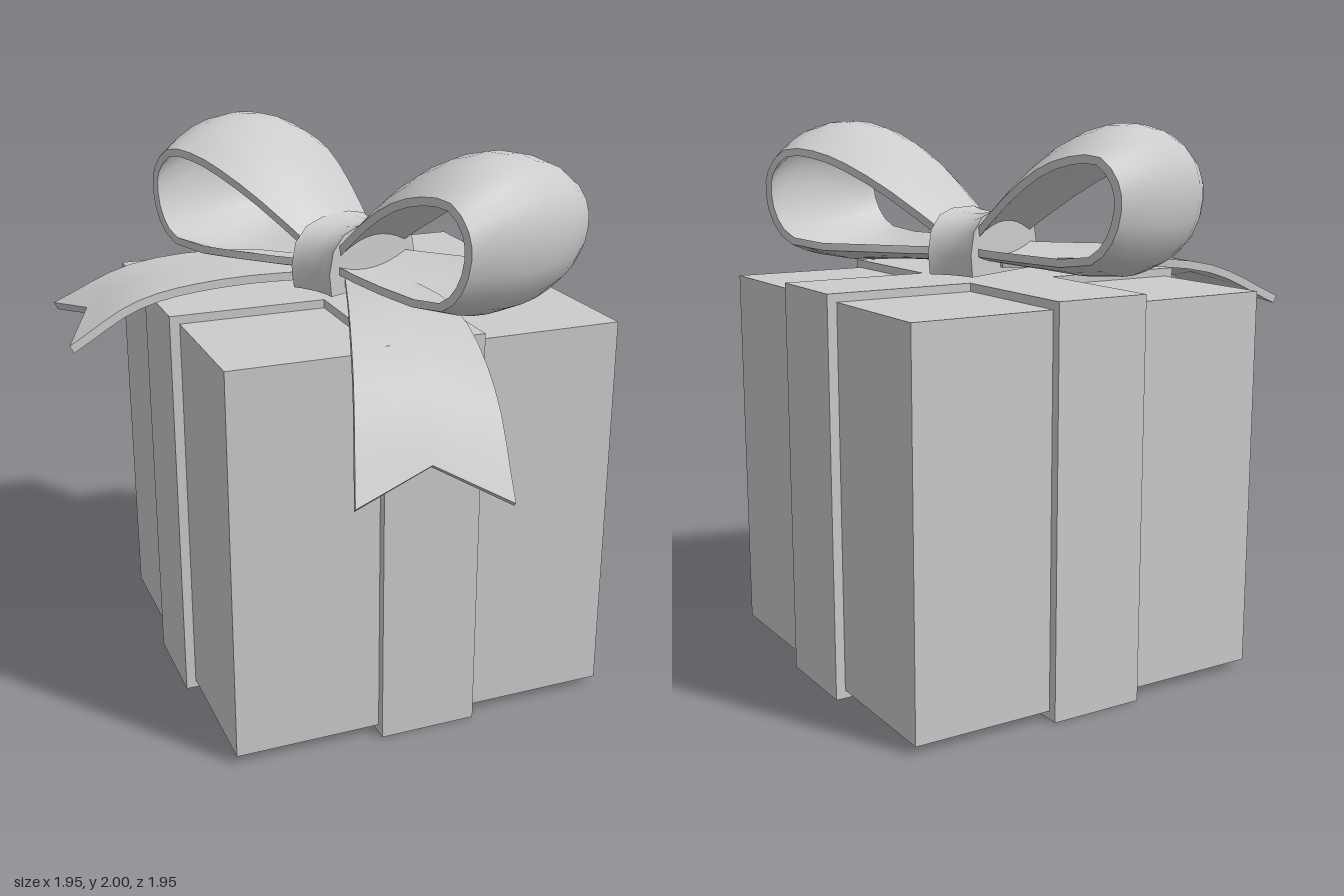
import * as THREE from 'three';
import { toCreasedNormals } from 'three/addons/utils/BufferGeometryUtils.js';

const V = (x, y, z) => new THREE.Vector3(x, y, z);
const material = new THREE.MeshStandardMaterial({ color: 0xcccccc });

function part(name, geometry, parent) {
  const mesh = new THREE.Mesh(geometry, material);
  mesh.name = name;
  parent.add(mesh);
  return mesh;
}

// Closed skin over a row of equal rings; each ring runs along the top face and back along the bottom.
function skin(rings, crease = 0.7) {
  const n = rings[0].length;
  const tris = [];
  const quad = (a, b, c, d) => tris.push([a, b, c], [a, c, d]);
  for (let i = 0; i < rings.length - 1; i++) {
    for (let j = 0; j < n; j++) {
      const k = (j + 1) % n;
      quad(rings[i][j], rings[i][k], rings[i + 1][k], rings[i + 1][j]);
    }
  }
  const first = rings[0], last = rings[rings.length - 1];
  for (let j = 0; j < n / 2 - 1; j++) {
    quad(first[j], first[n - 1 - j], first[n - 2 - j], first[j + 1]);
    quad(last[j], last[j + 1], last[n - 2 - j], last[n - 1 - j]);
  }
  // Turn the faces outward whatever direction the rings run in
  const volume = tris.reduce((s, [a, b, c]) => s + a.dot(b.clone().cross(c)), 0);
  if (volume < 0) tris.forEach((t) => t.reverse());
  const geometry = new THREE.BufferGeometry().setFromPoints(tris.flat());
  geometry.computeVertexNormals();
  return toCreasedNormals(geometry, crease);
}

// Bow loop: the ribbon bulges from its two rims to a crown along the middle
function loopGeometry(side, scale) {
  const crown = new THREE.CatmullRomCurve3([
    [0.05, 1.64], [0.24, 1.82], [0.41, 1.94], [0.58, 2.0], [0.73, 1.98], [0.83, 1.89],
    [0.86, 1.75], [0.81, 1.58], [0.66, 1.48], [0.35, 1.485], [0.05, 1.5],
  ].map(([x, y]) => V(x * scale, y, 0)));
  // Rim points hold x, y and the half width of the ribbon
  const rim = new THREE.CatmullRomCurve3([
    [0.05, 1.6, 0.16], [0.25, 1.75, 0.23], [0.42, 1.85, 0.28], [0.56, 1.895, 0.3], [0.69, 1.895, 0.31],
    [0.765, 1.82, 0.315], [0.78, 1.73, 0.315], [0.745, 1.62, 0.315], [0.66, 1.545, 0.31],
    [0.36, 1.53, 0.26], [0.05, 1.53, 0.16],
  ].map(([x, y, w]) => V(x * scale, y, w)));
  const rings = [];
  const steps = 20, across = 8, thickness = 0.028;
  for (let i = 0; i <= steps; i++) {
    const t = i / steps;
    const c = crown.getPoint(t), r = rim.getPoint(t), d = crown.getTangent(t);
    const outer = [], inner = [];
    for (let j = 0; j <= across; j++) {
      const s = (2 * j) / across - 1;
      const x = THREE.MathUtils.lerp(c.x, r.x, s * s);
      const y = THREE.MathUtils.lerp(c.y, r.y, s * s);
      outer.push(V(side * x, y, s * r.z));
      inner.unshift(V(side * (x + d.y * thickness), y - d.x * thickness, s * r.z));
    }
    rings.push([...outer, ...inner]);
  }
  return skin(rings);
}

// Ribbon tail between two edge curves, its middle line falling short to cut the notch
function tailGeometry(edgeA, edgeB, notch) {
  const a = new THREE.CatmullRomCurve3(edgeA.map((p) => V(...p)));
  const b = new THREE.CatmullRomCurve3(edgeB.map((p) => V(...p)));
  const rings = [];
  const steps = 12, thickness = 0.03;
  for (let i = 0; i <= steps; i++) {
    const t = i / steps;
    const rows = [t, t * notch, t].map((u, j) => {
      const pa = a.getPoint(u), pb = b.getPoint(u);
      const normal = a.getTangent(u).add(b.getTangent(u)).cross(pb.clone().sub(pa)).normalize();
      if (normal.y > 0) normal.negate();
      const top = pa.lerp(pb, j / 2);
      return [top, top.clone().addScaledVector(normal, thickness)];
    });
    rings.push([...rows.map((r) => r[0]), ...rows.map((r) => r[1]).reverse()]);
  }
  return skin(rings);
}

// Knot: rounded band around the bow, slightly pinched in the middle
function knotGeometry() {
  const half = [[0.215, 1.46], [0.225, 1.54], [0.205, 1.62], [0.15, 1.67], [0.07, 1.69]];
  const outline = [...half, ...half.map(([z, y]) => [-z, y]).reverse()];
  const rings = [-0.093, -0.06, 0, 0.06, 0.093].map((x) => {
    const pinch = 0.92 + 0.08 * (x / 0.093) ** 2;
    return outline.map(([z, y]) => V(x, 1.46 + (y - 1.46) * pinch, z * pinch));
  });
  return skin(rings);
}

export function createModel() {
  const model = new THREE.Group();
  model.name = 'giftBox';

  // Box and the ribbon bands wrapped around it
  const parcel = new THREE.Group();
  parcel.name = 'parcel';
  parcel.rotation.y = THREE.MathUtils.degToRad(-37.5);
  model.add(parcel);
  part('box', new THREE.BoxGeometry(1.39, 1.385, 1.39), parcel).position.y = 0.7225;

  const w = 0.175, e = 0.73;
  const cross = new THREE.Shape([
    [w, w], [w, e], [-w, e], [-w, w], [-e, w], [-e, -w],
    [-w, -w], [-w, -e], [w, -e], [w, -w], [e, -w], [e, w],
  ].map(([x, y]) => new THREE.Vector2(x, y)));
  const bands = new THREE.ExtrudeGeometry(cross, { depth: 1.445, bevelEnabled: false });
  part('ribbonBands', bands.rotateX(-Math.PI / 2), parcel);

  // Bow
  const bow = new THREE.Group();
  bow.name = 'bow';
  bow.position.set(0.02, 0, 0.02);
  bow.rotation.y = THREE.MathUtils.degToRad(-12);
  model.add(bow);
  part('leftLoop', loopGeometry(1, 1), bow);
  part('rightLoop', loopGeometry(-1, 0.94), bow);
  part('knot', knotGeometry(), bow);

  // Ribbon tails
  part('leftTail', tailGeometry(
    [[0.02, 1.51, 0.09], [0.32, 1.495, 0.55], [0.46, 1.36, 0.76], [0.58, 1.05, 0.95]],
    [[0.12, 1.51, -0.02], [0.56, 1.5, 0.27], [0.81, 1.34, 0.49], [0.965, 1.04, 0.64]], 0.89), model);
  part('rightTail', tailGeometry(
    [[0, 1.51, 0.06], [-0.28, 1.515, 0.42], [-0.46, 1.47, 0.66], [-0.6, 1.34, 0.86]],
    [[-0.08, 1.51, -0.05], [-0.47, 1.52, 0.06], [-0.77, 1.48, 0.32], [-0.98, 1.35, 0.52]], 0.88), model);

  return model;
}
